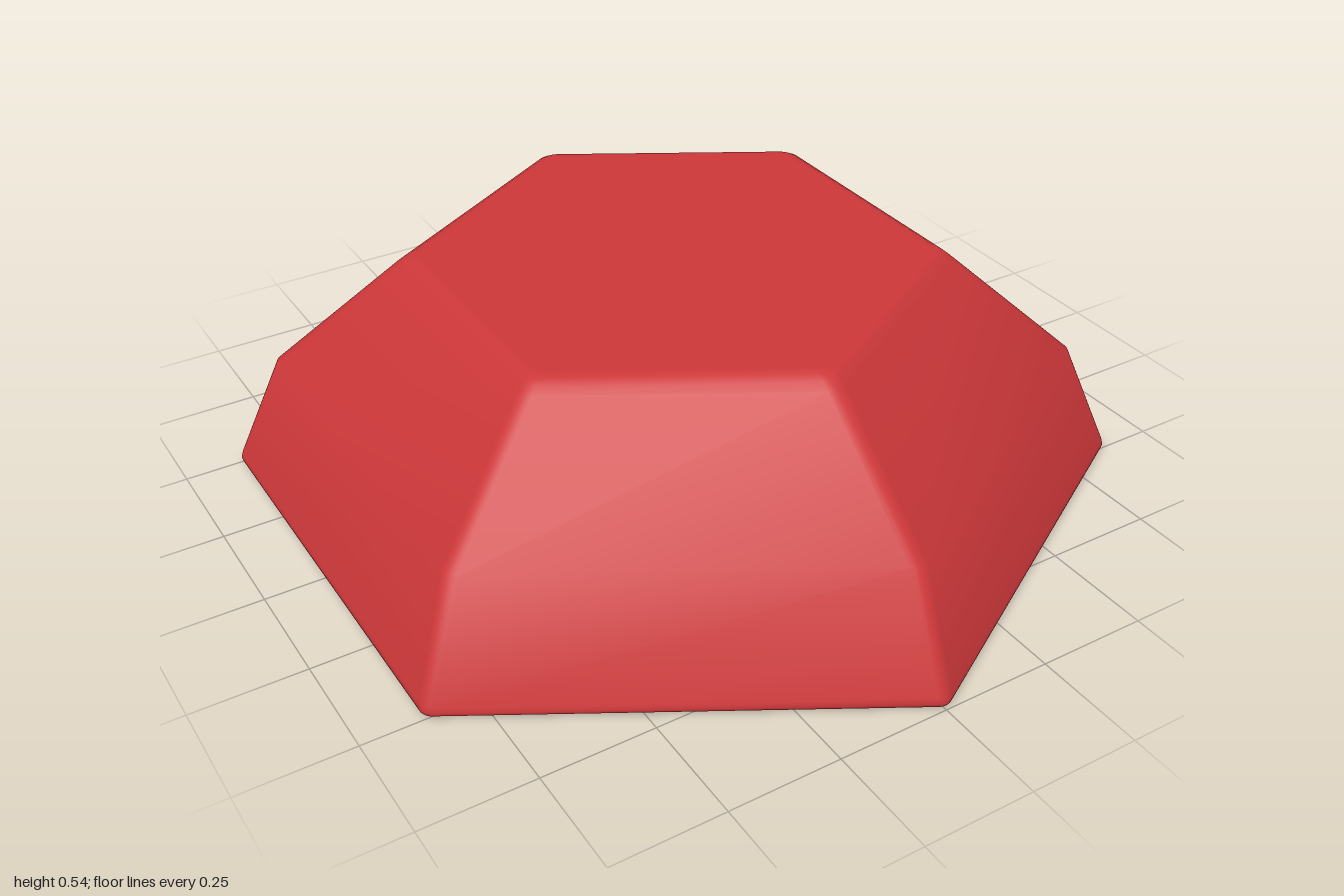
import * as THREE from 'three';

const SIDES = 6;
const ARC = 6; // segments around each softened corner

// Profile from the centre of the base to the centre of the top:
// [distance to the flat side, height, corner radius]
const PROFILE = [
  [0, 0, 0],
  [0.845, 0, 0.02],
  [0.86, 0.003, 0.025],
  [0.868, 0.01, 0.03],
  [0.87, 0.018, 0.03],
  [0.867, 0.03, 0.03],
  [0.775, 0.275, 0.04],
  [0.53, 0.515, 0.04],
  [0.515, 0.528, 0.04],
  [0.5, 0.537, 0.04],
  [0.48, 0.54, 0.04],
  [0, 0.54, 0],
];

// One hexagonal ring with rounded corners, the first corner facing +z
function ring([apothem, y, radius]) {
  const points = [];
  const reach = (apothem - radius) / Math.cos(Math.PI / SIDES);
  for (let k = 0; k < SIDES; k++) {
    const corner = (k * 2 * Math.PI) / SIDES;
    for (let s = 0; s <= ARC; s++) {
      const a = corner + (s / ARC - 0.5) * (2 * Math.PI / SIDES);
      points.push(
        Math.sin(corner) * reach + Math.sin(a) * radius,
        y,
        Math.cos(corner) * reach + Math.cos(a) * radius
      );
    }
  }
  return points;
}

function gemGeometry() {
  const count = SIDES * (ARC + 1);
  const positions = PROFILE.flatMap(ring);
  const index = [];
  for (let i = 0; i < PROFILE.length - 1; i++) {
    for (let j = 0; j < count; j++) {
      const n = (j + 1) % count;
      const a = i * count + j, b = i * count + n;
      const c = b + count, d = a + count;
      // The centre rings collapse to a point, so they need one triangle only
      if (i > 0) index.push(a, b, c);
      if (i < PROFILE.length - 2) index.push(a, c, d);
      else index.push(a, b, d);
    }
  }
  const geometry = new THREE.BufferGeometry();
  geometry.setAttribute('position', new THREE.Float32BufferAttribute(positions, 3));
  geometry.setIndex(index);
  geometry.computeVertexNormals();

  // Keep both caps evenly flat
  const normal = geometry.attributes.normal;
  const last = PROFILE.length - 1;
  for (let j = 0; j < count; j++) {
    for (const i of [0, 1]) normal.setXYZ(i * count + j, 0, -1, 0);
    for (const i of [last - 1, last]) normal.setXYZ(i * count + j, 0, 1, 0);
  }
  return geometry;
}

export function createModel() {
  const group = new THREE.Group();
  group.name = 'hexagonalGem';
  const gem = new THREE.Mesh(
    gemGeometry(),
    new THREE.MeshStandardMaterial({ color: 0xcc3739 })
  );
  gem.name = 'gemBody';
  group.add(gem);
  return group;
}
